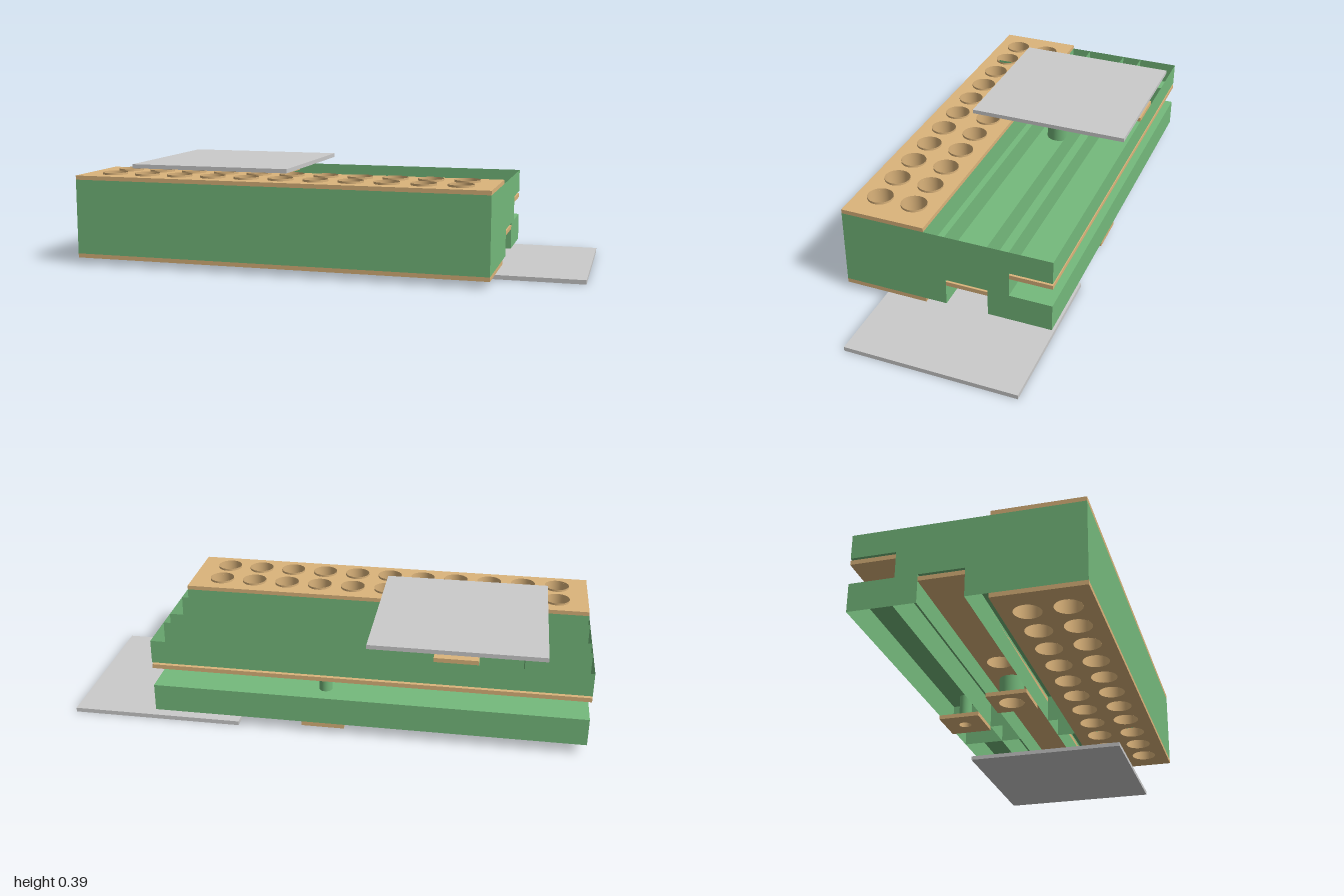
import * as THREE from 'three';

const U = 1 / 12;                       // basic grid unit
const T = 0.0167;                       // sheet thickness
const X0 = -1, X1 = 0.667;              // board length
const Z = 5 * U;                        // board half depth
const LOW = 0.0417, HIGH = 0.342;       // dielectric bottom and top
const MID1 = 0.15, MID2 = 0.25;         // inner layer levels

const mat = (color, side = THREE.FrontSide) =>
  new THREE.MeshStandardMaterial({ color, side });
const GREEN = 0x75ba7c, COPPER = 0xdcb47b;

// Plated holes: x, z, radius, bottom, top
const vias = [];
for (const z of [0.18, 0.32])
  for (let i = 0; i < 11; i++) vias.push([0.54 - i * 0.1414, z, 0.05, 0.025, 0.367]);
vias.push([-4 * U, -U, 0.05, 0.125, 0.367]);
vias.push([-6 * U, -4 * U, 0.025, 0.225, 0.367]);
vias.push([-2 * U, -U, 0.05, 0.025, 0.1417]);
vias.push([0, -4 * U, 0.025, 0.025, 0.2417]);

// Rectangle in x/z at height y, pierced by every hole that crosses it
function pierced(x0, x1, z0, z1, y) {
  const s = new THREE.Shape([[x0, -z1], [x1, -z1], [x1, -z0], [x0, -z0]]
    .map(([a, b]) => new THREE.Vector2(a, b)));
  for (const [x, z, r, b, t] of vias) {
    if (x < x0 || x > x1 || z < z0 || z > z1 || y < b - 0.001 || y > t) continue;
    s.holes.push(new THREE.Path().absarc(x, -z, r, 0, Math.PI * 2, true));
  }
  return s;
}

export function createModel() {
  const model = new THREE.Group();
  const board = new THREE.Group();
  board.name = 'dielectricBody';
  model.add(board);

  const add = (parent, name, geo, material) => {
    const m = new THREE.Mesh(geo, material);
    m.name = name;
    parent.add(m);
  };
  const greenBoth = mat(GREEN, THREE.DoubleSide);
  const copper = mat(COPPER);
  const grey = mat(0xcccccc);

  // Two closed levels: below the upper cells and above the lower cells
  for (const y of [MID1, MID2]) {
    const g = new THREE.ShapeGeometry(pierced(X0, X1, -Z, Z, y), 24);
    add(board, 'layerFace', g.rotateX(-Math.PI / 2).translate(0, y, 0), greenBoth);
  }

  // Long walls and thin ribs: z, bottom, top
  const longWalls = [[Z, LOW, HIGH], [-3 * U, MID1, MID2], [-Z, MID2, HIGH], [-Z, LOW, MID1]];
  for (const z of [U, 0, -2 * U, -3 * U])
    longWalls.push([z, MID2, HIGH], [z, LOW, MID1]);
  for (const [z, a, b] of longWalls) {
    const g = new THREE.PlaneGeometry(X1 - X0, b - a);
    if (z < 0) g.rotateY(Math.PI);
    add(board, 'longWall', g.translate((X0 + X1) / 2, (a + b) / 2, z), greenBoth);
  }

  // Cross walls between the cells: x, back, front, bottom, top
  const crossWalls = [];
  for (const x of [-9 * U, -7 * U]) crossWalls.push([x, -Z, Z, MID2, HIGH]);
  for (const x of [U, 3 * U])
    crossWalls.push([x, -Z, -2 * U, LOW, MID1], [x, 0, Z, LOW, MID1]);
  for (const [x, z0, z1, a, b] of crossWalls) {
    const g = new THREE.PlaneGeometry(z1 - z0, b - a).rotateY(Math.PI / 2);
    add(board, 'crossWall', g.translate(x, (a + b) / 2, (z0 + z1) / 2), greenBoth);
  }

  // End walls with the two channel openings
  const profile = new THREE.Shape([[Z, LOW], [Z, HIGH], [-Z, HIGH], [-Z, MID2],
    [-3 * U, MID2], [-3 * U, MID1], [-Z, MID1], [-Z, LOW], [-2 * U, LOW],
    [-2 * U, MID1], [0, MID1], [0, LOW]].map(([z, y]) => new THREE.Vector2(-z, y)));
  for (const x of [X0, X1]) {
    const g = new THREE.ShapeGeometry(profile).rotateY(Math.PI / 2).translate(x, 0, 0);
    add(board, 'endWall', g, greenBoth);
  }

  // Copper sheets, tracks and pads
  const sheet = (name, x0, x1, z0, z1, y) => {
    const g = new THREE.ExtrudeGeometry(pierced(x0, x1, z0, z1, y),
      { depth: T, bevelEnabled: false, curveSegments: 24 });
    add(model, name, g.rotateX(-Math.PI / 2).translate(0, y, 0), copper);
  };
  const pad = (name, x, z, y) => sheet(name, x - U, x + U, z - U, z + U, y);
  sheet('topCopperSheet', X0, X1, U, Z, HIGH);
  sheet('bottomCopperSheet', X0, X1, U, Z, 0.025);
  sheet('lowerTrack', X0, X1, -2 * U, 0, 0.125);
  sheet('backTrack', X0, X1, -Z, -3 * U, 0.225);
  pad('topLargePad', -4 * U, -U, HIGH);
  pad('topSmallPad', -6 * U, -4 * U, HIGH);
  pad('bottomLargePad', -2 * U, -U, 0.025);
  pad('bottomSmallPad', 0, -4 * U, 0.025);

  // Copper linings of the holes, with green sleeves inside the body
  const lining = mat(COPPER, THREE.DoubleSide);
  for (const [x, z, r, b, t] of vias) {
    const tube = (name, rad, y0, y1, material) => add(model, name,
      new THREE.CylinderGeometry(rad, rad, y1 - y0, 32, 1, true)
        .translate(x, (y0 + y1) / 2, z), material);
    const blindTop = z < -3 * U ? MID2 : MID1;
    tube('holeLining', r, b, t, lining);
    tube('holeSleeve', r + 0.0005, Math.max(b, LOW), t < HIGH ? blindTop : HIGH, greenBoth);
  }

  // Loose cover plates above and below
  const plate = (name, x, y) => add(model, name,
    new THREE.BoxGeometry(8 * U, T, 8 * U).translate(x, y + T / 2, -U), grey);
  plate('topPlate', -0.5, 0.375);
  plate('bottomPlate', 0.667, 0);

  return model;
}
